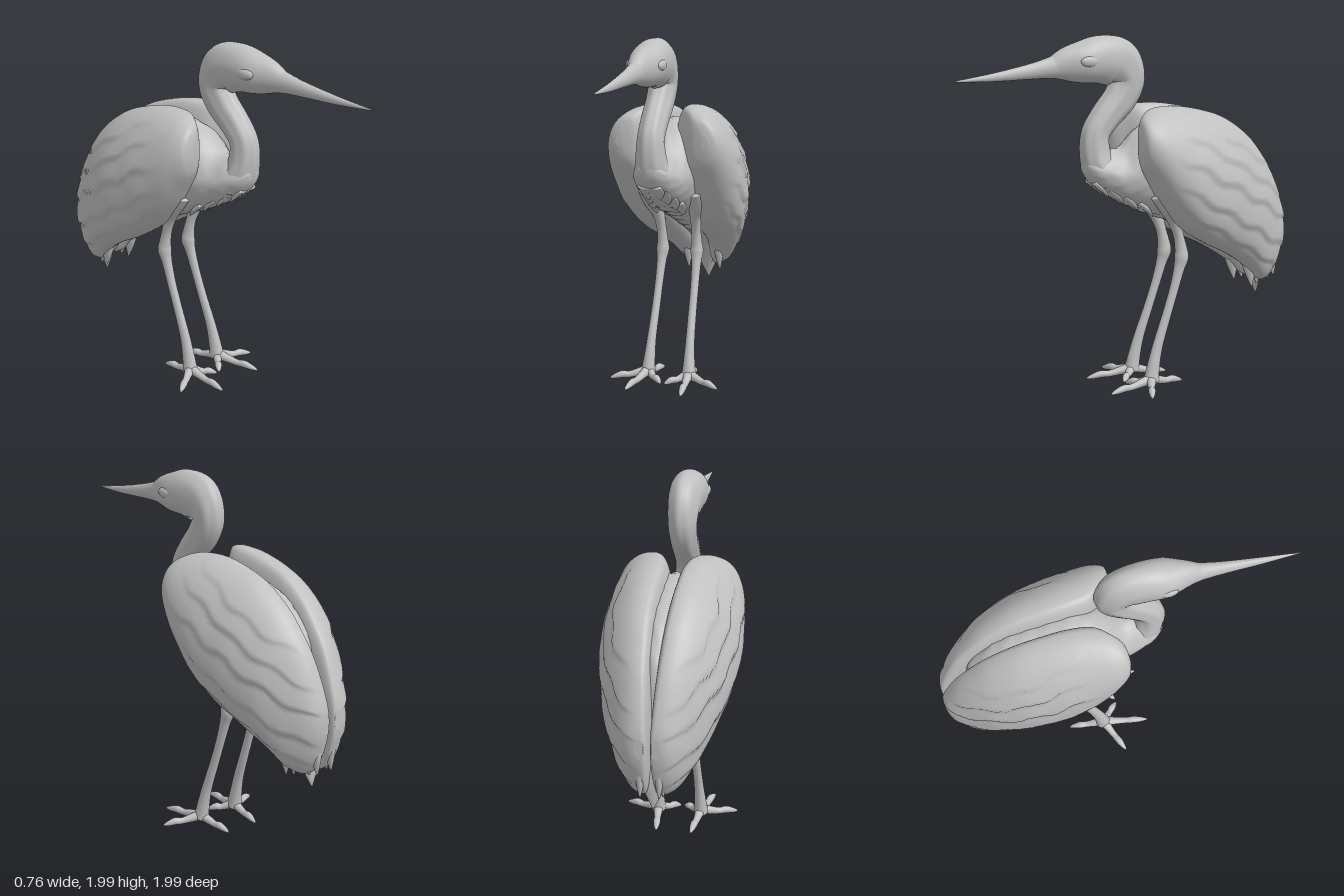
import * as THREE from 'three';

const plumage = new THREE.MeshStandardMaterial({ color: 0xc0c0c0 });
plumage.name = 'stone grey';

// Smoothly resample a table of numeric rows (Catmull-Rom per column)
function resample(rows, n) {
  const at = i => rows[Math.max(0, Math.min(rows.length - 1, i))];
  return Array.from({ length: n + 1 }, (_, k) => {
    const f = (k / n) * (rows.length - 1);
    const i = Math.min(Math.floor(f), rows.length - 2), t = f - i;
    return rows[0].map((_, c) => {
      const a = at(i - 1)[c], b = at(i)[c], d = at(i + 1)[c], e = at(i + 2)[c];
      return b + 0.5 * t * (d - a + t * (2 * a - 5 * b + 4 * d - e + t * (3 * (b - d) + e - a)));
    });
  });
}

// Closed skin over rings of points, with a fan at each end
function skin(rings) {
  const m = rings[0].length, pos = [], idx = [];
  rings.forEach(r => r.forEach(p => pos.push(p.x, p.y, p.z)));
  for (let i = 0; i < rings.length - 1; i++) {
    for (let j = 0; j < m; j++) {
      const k = (j + 1) % m, a = i * m + j, b = i * m + k;
      idx.push(a, b, a + m, b, b + m, a + m);
    }
  }
  [0, rings.length - 1].forEach(e => {
    const c = new THREE.Vector3();
    rings[e].forEach(p => c.addScaledVector(p, 1 / m));
    const id = pos.length / 3;
    pos.push(c.x, c.y, c.z);
    for (let j = 0; j < m; j++) {
      const a = e * m + j, b = e * m + (j + 1) % m;
      if (e) idx.push(a, b, id); else idx.push(b, a, id);
    }
  });
  const g = new THREE.BufferGeometry();
  g.setAttribute('position', new THREE.Float32BufferAttribute(pos, 3));
  g.setIndex(idx);
  g.computeVertexNormals();
  return g;
}

// Loft of ellipses along a path; rows are [x, y, z, halfWidth, halfDepth]
function loft(rows, steps = 24, sides = 16, ripple = () => 0) {
  const pts = resample(rows, steps);
  const v = p => new THREE.Vector3(p[0], p[1], p[2]);
  return skin(pts.map((p, i) => {
    const T = v(pts[Math.min(i + 1, steps)]).sub(v(pts[Math.max(i - 1, 0)])).normalize();
    const N = new THREE.Vector3().crossVectors(T, new THREE.Vector3(1, 0, 0)).normalize();
    const S = new THREE.Vector3().crossVectors(N, T);
    return Array.from({ length: sides }, (_, j) => {
      const t = (j / sides) * Math.PI * 2, k = 1 + ripple(t, i / steps);
      return v(p).addScaledVector(S, p[3] * k * Math.cos(t)).addScaledVector(N, p[4] * k * Math.sin(t));
    });
  }));
}

// Stepped ridge like overlapping feathers, 0..1
const saw = s => { const f = s - Math.floor(s); return f < 0.85 ? f / 0.85 : (1 - f) / 0.15; };

// Torso slices along z: [z, top, bottom, halfWidth]
function torsoGeometry() {
  const rows = [
    [0.28, 1.32, 1.28, 0.02], [0.265, 1.34, 1.23, 0.06], [0.22, 1.36, 1.17, 0.098],
    [0.14, 1.37, 1.11, 0.125], [0.05, 1.38, 1.06, 0.145], [-0.05, 1.47, 1.01, 0.175],
    [-0.2, 1.53, 0.95, 0.2], [-0.4, 1.5, 0.86, 0.19], [-0.6, 1.44, 0.76, 0.16],
    [-0.75, 1.31, 0.63, 0.11], [-0.82, 1.15, 0.52, 0.07], [-0.85, 0.7, 0.47, 0.03]
  ];
  return skin(resample(rows, 60).map(([z, top, bot, w]) =>
    Array.from({ length: 48 }, (_, j) => {
      const t = (j / 48) * Math.PI * 2;
      const k = 1 - 0.03 * saw(z * 9 + 0.35 * Math.sin(t * 7));
      // the breast narrows upward into the neck
      const pinch = 1 - 0.25 * THREE.MathUtils.smoothstep(z, -0.1, 0.12) * Math.max(0, -Math.sin(t));
      return new THREE.Vector3(w * k * pinch * Math.cos(t),
        (top + bot) / 2 - (top - bot) / 2 * k * Math.sin(t), z);
    })));
}

// Folded wing slices along z: [z, top, bottom, xTop, xOuter, xBottom, xInner]
function wingGeometry(side) {
  const rows = [
    [0.04, 1.46, 1.38, 0.24, 0.27, 0.25, 0.23], [0.02, 1.54, 1.29, 0.21, 0.315, 0.23, 0.16],
    [-0.04, 1.585, 1.19, 0.16, 0.347, 0.21, 0.1], [-0.12, 1.602, 1.07, 0.13, 0.365, 0.2, 0.03],
    [-0.25, 1.602, 0.92, 0.11, 0.374, 0.19, 0.006], [-0.4, 1.575, 0.82, 0.1, 0.366, 0.18, 0.005],
    [-0.55, 1.525, 0.745, 0.095, 0.342, 0.16, 0.005], [-0.7, 1.425, 0.65, 0.085, 0.297, 0.12, 0.005],
    [-0.8, 1.315, 0.555, 0.075, 0.247, 0.07, 0.005], [-0.88, 1.2, 0.55, 0.065, 0.195, 0.045, 0.006],
    [-0.94, 1.07, 0.63, 0.055, 0.15, 0.04, 0.008], [-0.975, 0.97, 0.73, 0.05, 0.11, 0.04, 0.012],
    [-0.988, 0.91, 0.8, 0.045, 0.075, 0.04, 0.02]
  ];
  const m = 112;
  return skin(resample(rows, 100).map(([z, top, bot, xt, xo, xb, xi]) =>
    Array.from({ length: m }, (_, j) => {
      const t = side * (j / m) * Math.PI * 2, c = Math.cos(t), s = Math.sin(t);
      const y = (top + bot) / 2 + (top - bot) / 2 * c;
      let x = xt + (xb - xt) * (1 - c) / 2;
      if (s >= 0) {
        // long diagonal feather rows, fading out at the shoulder
        const fade = THREE.MathUtils.smoothstep(-z, 0.08, 0.35);
        const ridge = saw((y - 0.55 * z) * 7 + 0.1 * Math.sin(z * 23 + y * 9) + 0.12 * Math.sin(z * 9 - y * 13));
        x += s * (xo - (xt + xb) / 2 + 0.016 * fade * (0.4 - ridge));
      } else {
        // rounded inner side meeting the other wing along the back
        x += (xi - x) * Math.pow(-s, 0.6);
      }
      return new THREE.Vector3(side * x, y, z);
    })));
}

export function createModel() {
  const model = new THREE.Group();
  const add = (name, geometry, parent = model) => {
    const mesh = new THREE.Mesh(geometry, plumage);
    mesh.name = name;
    parent.add(mesh);
    return mesh;
  };

  add('torso', torsoGeometry());

  // Bill, head and S-shaped neck
  add('bill', loft([
    [0, 1.777, 1, 0.003, 0.004], [0, 1.79, 0.8, 0.017, 0.022], [0, 1.812, 0.6, 0.03, 0.04],
    [0, 1.828, 0.48, 0.042, 0.056], [0, 1.84, 0.38, 0.06, 0.08]
  ]));
  add('headAndNeck', loft([
    [0, 1.827, 0.47, 0.038, 0.052], [0, 1.845, 0.38, 0.068, 0.09], [0, 1.855, 0.28, 0.1, 0.115],
    [0, 1.865, 0.17, 0.1, 0.132], [0, 1.84, 0.06, 0.09, 0.135], [0, 1.75, 0.005, 0.08, 0.1],
    [0, 1.65, 0.05, 0.075, 0.095], [0, 1.55, 0.14, 0.073, 0.085], [0, 1.46, 0.2, 0.074, 0.08],
    [0, 1.36, 0.205, 0.083, 0.085], [0, 1.27, 0.18, 0.1, 0.09], [0, 1.2, 0.13, 0.11, 0.08]
  ], 70, 48, (t, u) => u > 0.25 ? 0.025 * Math.sin(t * 8) * Math.min(1, (u - 0.25) * 5) : 0));

  // Central tail feather
  add('tailFeather', loft([
    [0, 0.85, -0.78, 0.08, 0.03], [0, 0.62, -0.83, 0.075, 0.03], [0, 0.455, -0.85, 0.005, 0.008]
  ]));

  for (const s of [1, -1]) {
    const tag = s > 0 ? 'left' : 'right';
    add(tag + 'Wing', wingGeometry(s));

    // Eye bulge
    const eye = add(tag + 'Eye', new THREE.SphereGeometry(0.035, 16, 12));
    eye.position.set(s * 0.086, 1.862, 0.27);
    eye.scale.set(0.7, 0.9, 1.6);

    // Pointed flight feathers, mostly tucked into the trailing edge
    for (let i = 0; i < 5; i++) {
      const u = i / 4, z = -0.75 - 0.18 * u, y = 0.54 + 0.04 * u, x = s * (0.1 - 0.05 * u);
      add(tag + 'FlightFeather', loft([
        [x, y + 0.3, z + 0.04, 0.03, 0.04], [x, y + 0.12, z + 0.01, 0.03, 0.045],
        [x, y - 0.02, z - 0.01, 0.004, 0.006]
      ], 12, 10));
    }

    // Ragged breast feathers
    for (let i = 0; i < 4; i++) {
      const z = 0.17 - 0.085 * i, y = 1.135 - 0.042 * i, x = s * (0.035 + 0.015 * i);
      add(tag + 'BreastFeather', loft([
        [x, y + 0.06, z + 0.06, 0.035, 0.015], [x, y + 0.02, z + 0.01, 0.035, 0.015],
        [x, y - 0.025, z - 0.03, 0.006, 0.004]
      ], 10, 10));
    }

    // Leg with feathered thigh, slim shin and knobbly joint
    const leg = new THREE.Group();
    leg.name = tag + 'Leg';
    model.add(leg);
    add('thighAndShank', loft([
      [s * 0.145, 1.14, -0.14, 0.06, 0.08], [s * 0.135, 1.05, -0.19, 0.055, 0.065],
      [s * 0.115, 0.96, -0.235, 0.035, 0.042], [s * 0.107, 0.87, -0.265, 0.028, 0.03],
      [s * 0.105, 0.79, -0.283, 0.031, 0.036], [s * 0.105, 0.735, -0.287, 0.037, 0.042],
      [s * 0.107, 0.67, -0.27, 0.028, 0.032], [s * 0.11, 0.55, -0.235, 0.024, 0.027],
      [s * 0.113, 0.4, -0.185, 0.024, 0.027], [s * 0.118, 0.24, -0.13, 0.026, 0.031],
      [s * 0.122, 0.12, -0.1, 0.033, 0.038], [s * 0.125, 0.035, -0.085, 0.042, 0.045]
    ], 60, 20), leg);

    // Three forward toes and one hind toe
    for (const [x, z] of [[0.165, 0.185], [0.325, 0.01], [0.012, 0.02], [0.1, -0.295]]) {
      const p = (f, y, r) =>
        [s * (0.125 + (x - 0.125) * f), y, -0.085 + (z + 0.085) * f, r, r];
      add('toe', loft([
        p(0, 0.05, 0.032), p(0.25, 0.038, 0.024), p(0.5, 0.026, 0.019), p(0.68, 0.028, 0.021),
        p(0.85, 0.019, 0.016), p(1, 0.01, 0.006)
      ], 20, 12), leg);
    }
  }
  return model;
}
